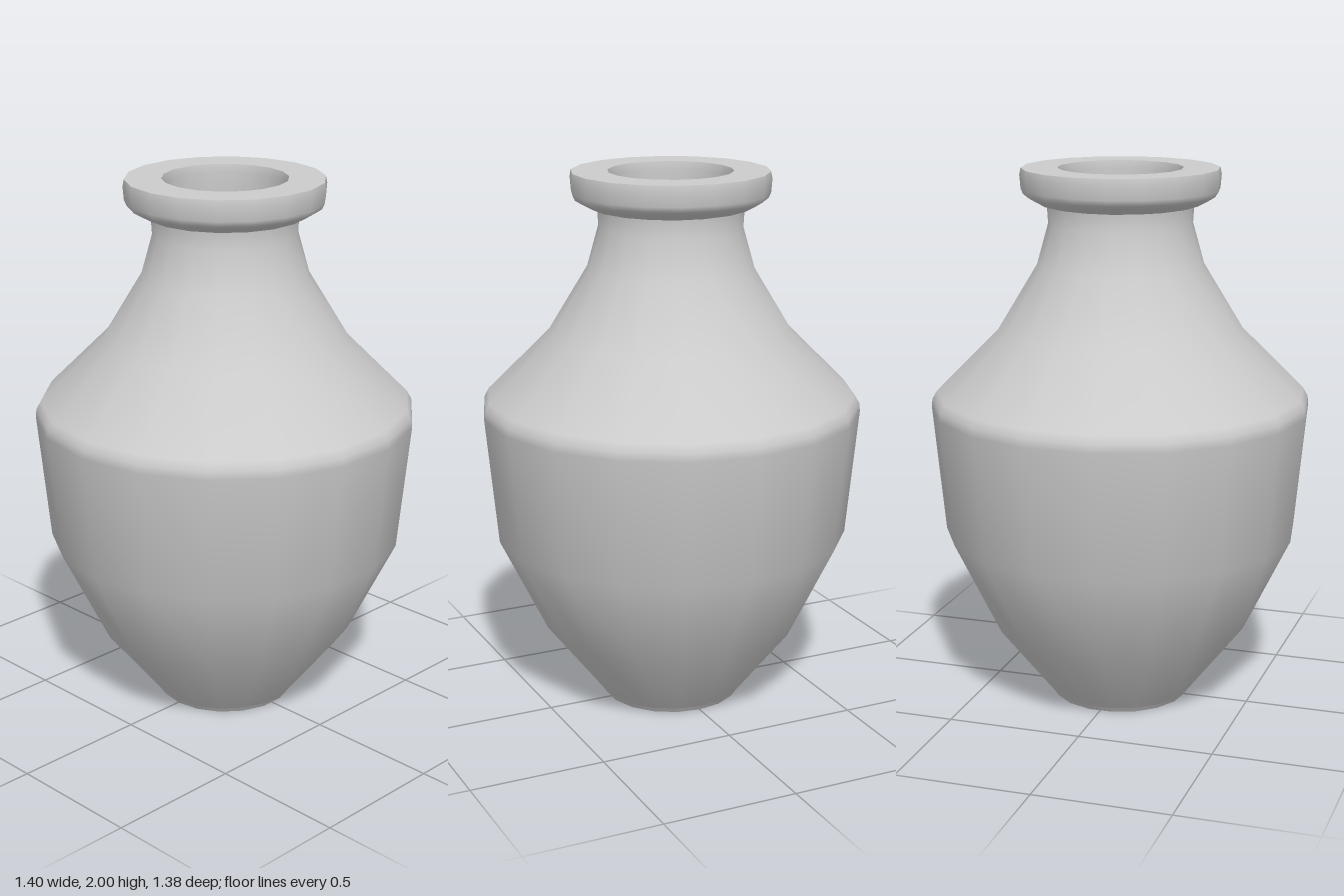
import * as THREE from 'three';

const SIDES = 18;
const material = new THREE.MeshStandardMaterial({ color: 0xcccccc });

// One smooth band of the turned profile; separate bands meet at sharp edges.
function band(name, profile) {
  const points = profile.map(([r, y]) => new THREE.Vector2(r, y));
  const mesh = new THREE.Mesh(new THREE.LatheGeometry(points, SIDES, Math.PI / 2), material);
  mesh.name = name;
  return mesh;
}

export function createModel() {
  const vase = new THREE.Group();
  vase.name = 'vase';

  // Profiles run from the base centre, up the outside, over the rim and down the inside.
  vase.add(
    // Shallow recess under the foot
    band('baseRecess', [[0, 0.04], [0.175, 0.04]]),
    band('recessWall', [[0.175, 0.04], [0.175, 0]]),
    band('footRing', [[0.175, 0], [0.255, 0]]),
    band('footEdge', [[0.255, 0], [0.268, 0.02]]),
    // Belly, shoulder and neck
    band('body', [
      [0.268, 0.02], [0.48, 0.29], [0.655, 0.65], [0.7, 1.12], [0.697, 1.15], [0.68, 1.18],
      [0.45, 1.41], [0.305, 1.65], [0.263, 1.8], [0.267, 1.865],
    ]),
    // Overhanging lip
    band('lipUnderside', [[0.267, 1.865], [0.29, 1.87], [0.332, 1.893]]),
    band('lipSide', [[0.332, 1.893], [0.352, 1.905], [0.361, 1.925], [0.365, 1.975], [0.36, 2]]),
    band('lipTop', [[0.36, 2], [0.228, 2]]),
    // Hollow inside
    band('innerWall', [
      [0.228, 2], [0.222, 1.97], [0.222, 1.8], [0.262, 1.64], [0.41, 1.38], [0.63, 1.16],
      [0.65, 1.1], [0.61, 0.66], [0.44, 0.31], [0.24, 0.07],
    ]),
    band('innerFloor', [[0.24, 0.07], [0, 0.07]]),
  );
  return vase;
}
